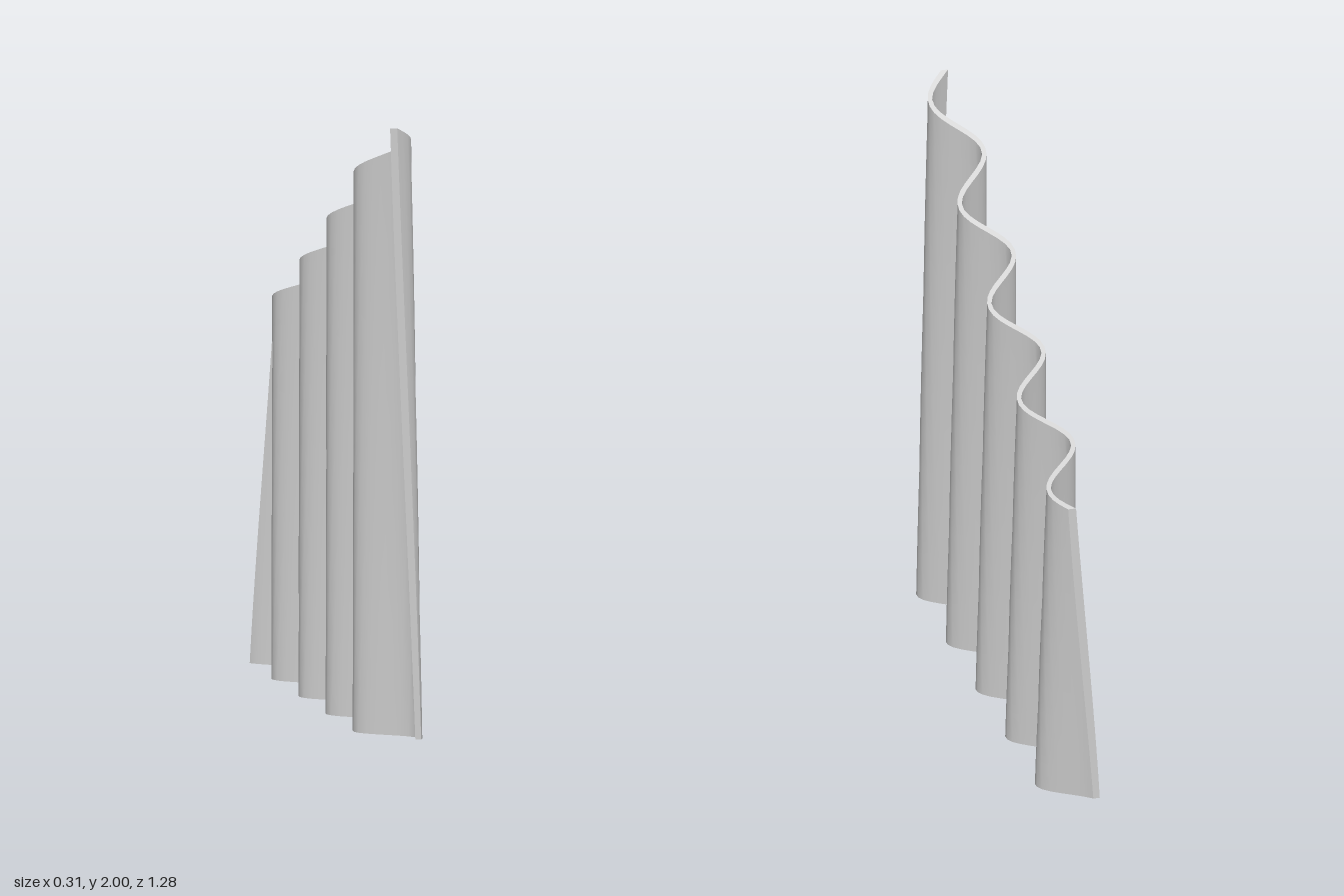
import * as THREE from 'three';
import { ParametricGeometry } from 'three/addons/geometries/ParametricGeometry.js';

const HALF = 0.64;          // half length along z
const WAVE = 0.2844;        // fold spacing
const LEAN = 0.113;         // sideways drift of the folds along z
const THICK = 0.0072;       // half thickness

// s: -1 back .. 1 front, t: 0 bottom .. 1 top, side: -1 right face .. 1 left face
function sheetPoint(s, t, side, target) {
  const z = s * HALF;
  const height = 1.52 + 0.68 * z + 0.11 * z * z;
  const amp = THREE.MathUtils.lerp(0.083, 0.063, t);
  const shift = THREE.MathUtils.lerp(0.046, -0.007, t);
  const k = (2 * Math.PI) / WAVE;
  const a = k * (z - shift);
  const slope = LEAN - amp * k * Math.sin(a);
  const x = LEAN * z + amp * Math.cos(a) + side * THICK * Math.sqrt(1 + slope * slope);
  target.set(x, t * height, z);
}

export function createModel() {
  const group = new THREE.Group();
  group.name = 'pleatedPanel';
  const grey = new THREE.MeshStandardMaterial({ color: 0xcccccc });
  grey.name = 'lightGrey';

  const add = (name, nu, nv, fn) => {
    const mesh = new THREE.Mesh(new ParametricGeometry(fn, nu, nv), grey);
    mesh.name = name;
    group.add(mesh);
  };

  // Wide folded faces
  for (const side of [1, -1]) {
    add(side > 0 ? 'leftFace' : 'rightFace', 72, 12,
      (u, v, p) => sheetPoint(-side * (2 * u - 1), v, side, p));
  }
  // Sloping top rim and flat bottom rim
  add('topRim', 72, 1, (u, v, p) => sheetPoint(2 * u - 1, 1, 2 * v - 1, p));
  add('bottomRim', 72, 1, (u, v, p) => sheetPoint(1 - 2 * u, 0, 2 * v - 1, p));
  // Narrow upright ends
  for (const end of [1, -1]) {
    add(end > 0 ? 'frontEnd' : 'backEnd', 1, 12,
      (u, v, p) => sheetPoint(end, v, end * (2 * u - 1), p));
  }
  return group;
}
